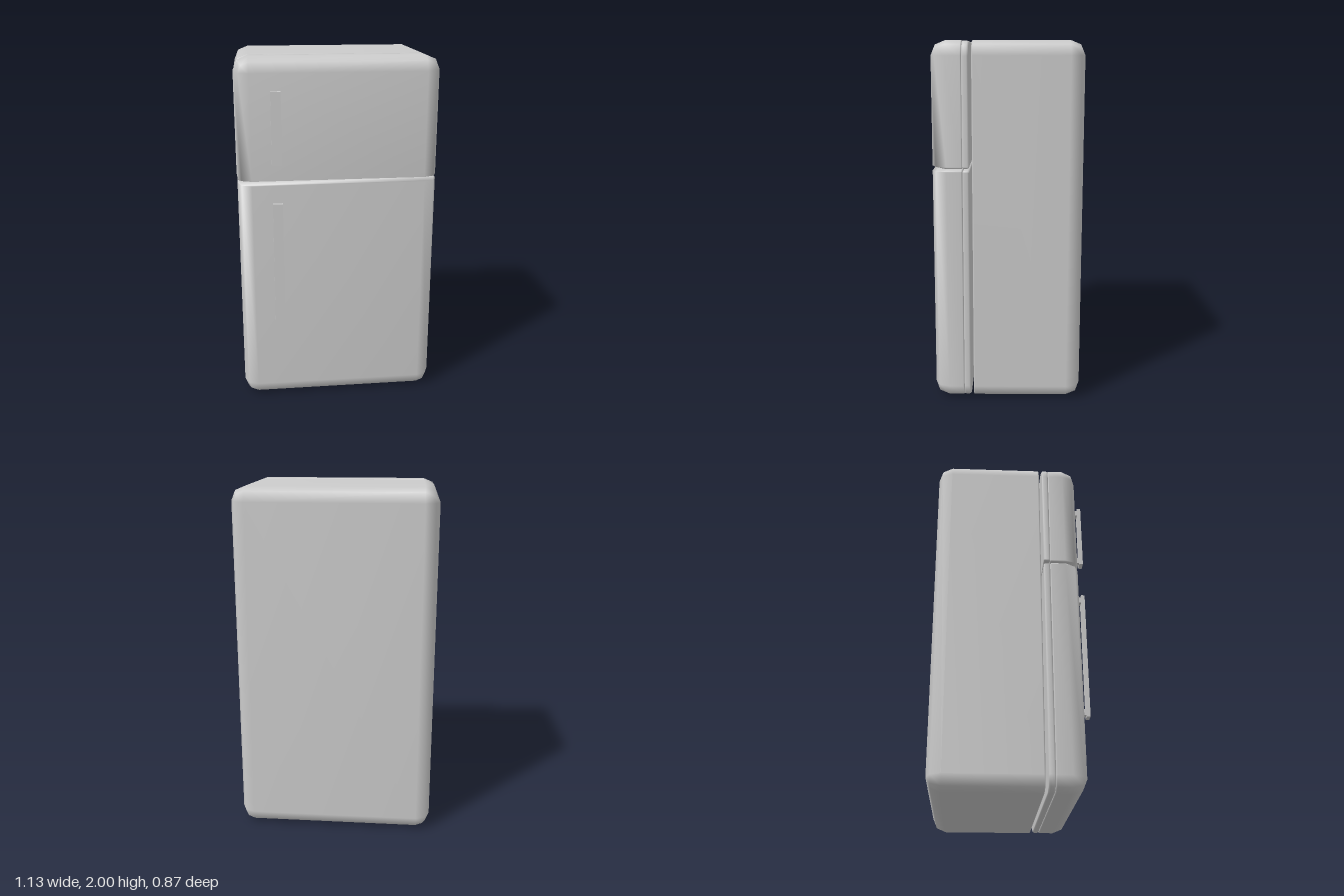
import * as THREE from 'three';
import { mergeVertices } from 'three/addons/utils/BufferGeometryUtils.js';

const R = 0.08; // large rounding
const S = 0.01; // small rounding
const MID = 1 - Math.SQRT1_2;

const material = new THREE.MeshStandardMaterial({ color: 0xcccccc });

// One rounded-rectangle ring; rb / rt are the roundings of the bottom and top corners.
function ring(w, y0, y1, rb, rt, z, inset) {
  const points = [];
  const corners = [[1, 0, rb], [1, 1, rt], [-1, 1, rt], [-1, 0, rb]];
  corners.forEach(([sx, top, radius], k) => {
    const r = Math.max(radius - inset, 0);
    const dy = Math.min(inset, radius);
    const cx = sx * (w - inset - r);
    const cy = top ? y1 - dy - r : y0 + dy + r;
    for (let i = 0; i <= 2; i++) {
      const a = (k - 1 + i / 2) * Math.PI / 2;
      points.push([cx + r * Math.cos(a), cy + r * Math.sin(a), z]);
    }
  });
  return points;
}

// Solid lofted from back to front through [z, inset] sections, with closed ends.
function softSlab(name, w, y0, y1, rb, rt, sections) {
  const rings = sections.map(([z, inset]) => ring(w, y0, y1, rb, rt, z, inset));
  const n = rings[0].length;
  const last = rings.length - 1;
  const positions = rings.flat(2);
  const index = [];
  for (let i = 0; i < last; i++) {
    for (let j = 0; j < n; j++) {
      const a = i * n + j, b = i * n + (j + 1) % n;
      index.push(a, b, b + n, a, b + n, a + n);
    }
  }
  // End caps
  const back = positions.length / 3, front = back + 1;
  const cy = (y0 + y1) / 2;
  positions.push(0, cy, sections[0][0], 0, cy, sections[last][0]);
  for (let j = 0; j < n; j++) {
    const k = (j + 1) % n;
    index.push(back, k, j, front, last * n + j, last * n + k);
  }
  let geometry = new THREE.BufferGeometry();
  geometry.setAttribute('position', new THREE.Float32BufferAttribute(positions, 3));
  geometry.setIndex(index);
  geometry = mergeVertices(geometry, 1e-5);
  geometry.computeVertexNormals();
  const mesh = new THREE.Mesh(geometry, material);
  mesh.name = name;
  return mesh;
}

function box(name, x0, x1, y0, y1, z0, z1) {
  const mesh = new THREE.Mesh(new THREE.BoxGeometry(x1 - x0, y1 - y0, z1 - z0), material);
  mesh.position.set((x0 + x1) / 2, (y0 + y1) / 2, (z0 + z1) / 2);
  mesh.name = name;
  return mesh;
}

// Flat bar on two standoffs
function handle(name, y0, y1) {
  const group = new THREE.Group();
  group.name = name;
  group.add(box('handleBar', -0.372, -0.317, y0, y1, 0.415, 0.436));
  for (const y of [y0 + 0.01, y1 - 0.045]) {
    group.add(box('handleStandoff', -0.365, -0.325, y, y + 0.035, 0.375, 0.416));
  }
  return group;
}

export function createModel() {
  const model = new THREE.Group();
  model.name = 'refrigerator';

  // Cabinet
  model.add(softSlab('cabinet', 0.563, 0, 2, R, R, [
    [-0.436, R], [-0.436 + R * MID, R * MID], [-0.436 + R, 0],
    [0.157, 0], [0.163, 0.003], [0.165, S],
  ]));

  // Doors, each with its seal and handle
  const doors = [
    { name: 'freezerDoor', y0: 1.323, y1: 2, rb: S, rt: R, seal: 0.567, bar: [1.43, 1.83] },
    { name: 'fridgeDoor', y0: 0, y1: 1.316, rb: R, rt: S, seal: 0.562, bar: [0.46, 1.215] },
  ];
  for (const { name, y0, y1, rb, rt, seal, bar } of doors) {
    const door = new THREE.Group();
    door.name = name;
    door.add(softSlab('doorPanel', 0.562, y0, y1, rb, rt, [
      [0.217, 0.008], [0.219, 0.002], [0.224, 0],
      [0.384 - R, 0], [0.384 - R * MID, R * MID], [0.384, R],
    ]));
    door.add(softSlab('doorSeal', seal, y0 + 0.002, y1 - 0.003, rb, rt, [
      [0.18, S], [0.183, 0.003], [0.19, 0],
      [0.208, 0], [0.215, 0.003], [0.218, S],
    ]));
    door.add(handle('handle', ...bar));
    model.add(door);
  }
  return model;
}
